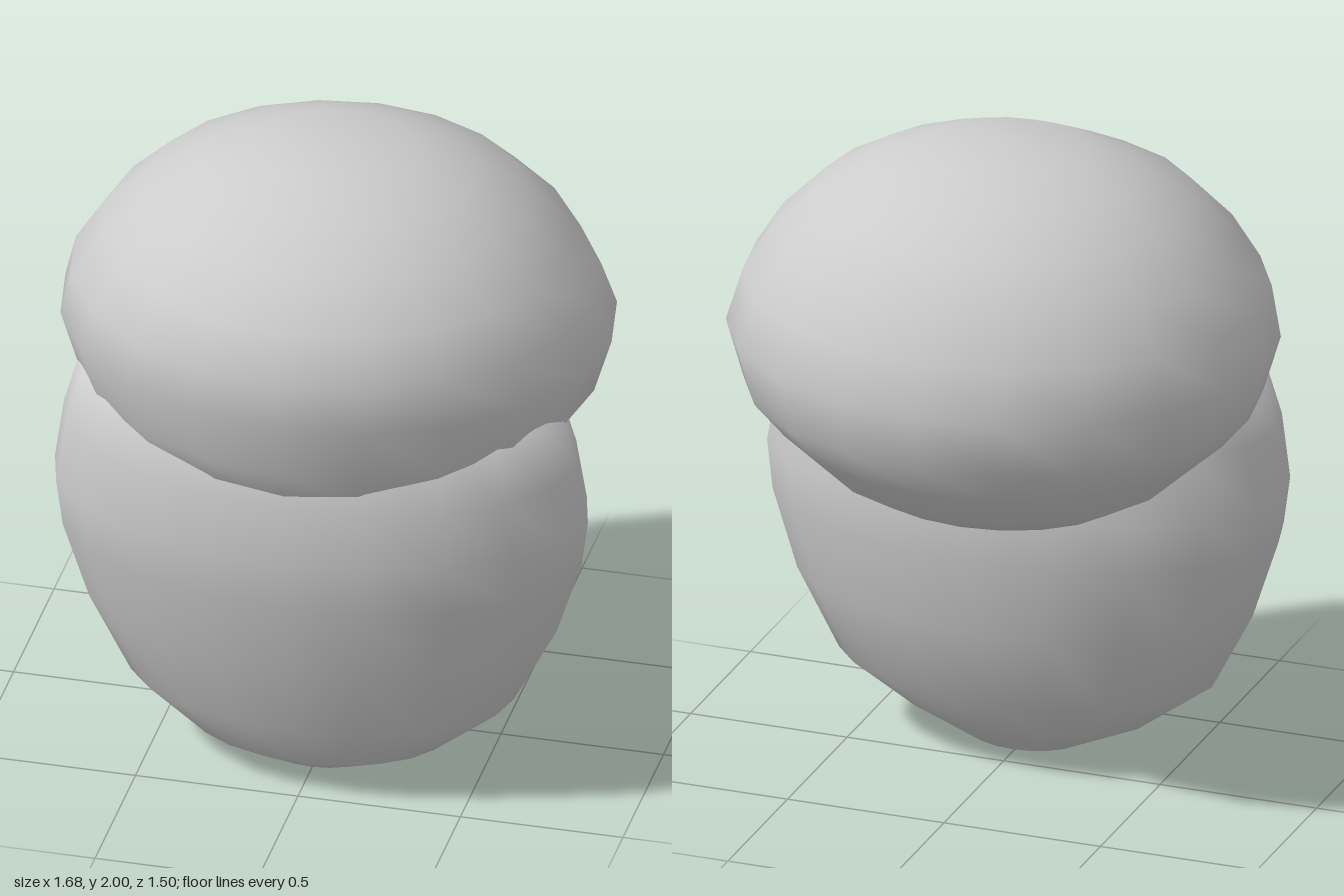
import * as THREE from 'three';
import { mergeVertices } from 'three/addons/utils/BufferGeometryUtils.js';

const SEGMENTS = 20;

// Closed rounded form from elliptical rings, top to bottom: [y, half width, front z, back z]
function loftedBlob(name, rows, material) {
  const geometry = new THREE.SphereGeometry(1, SEGMENTS, rows.length - 1);
  geometry.deleteAttribute('uv');
  geometry.deleteAttribute('normal');
  const position = geometry.attributes.position;
  for (let i = 0; i < position.count; i++) {
    const [y, halfWidth, front, back] = rows[Math.floor(i / (SEGMENTS + 1))];
    const angle = (i % (SEGMENTS + 1)) / SEGMENTS * Math.PI * 2;
    position.setXYZ(
      i,
      -Math.cos(angle) * halfWidth,
      y,
      (front + back) / 2 + Math.sin(angle) * (front - back) / 2
    );
  }
  // Weld the seam and poles so the shading stays smooth all round
  const welded = mergeVertices(geometry, 1e-4);
  welded.computeVertexNormals();
  const mesh = new THREE.Mesh(welded, material);
  mesh.name = name;
  return mesh;
}

export function createModel() {
  const model = new THREE.Group();
  model.name = 'headBase';
  const grey = new THREE.MeshStandardMaterial({ color: 0xcccccc });
  grey.name = 'plain grey';

  // Broad skull, hanging lower at the back
  model.add(loftedBlob('cranium', [
    [2.00, 0, 0.04, 0.04],
    [1.985, 0.25, 0.25, -0.19],
    [1.92, 0.43, 0.39, -0.34],
    [1.83, 0.58, 0.56, -0.50],
    [1.70, 0.71, 0.68, -0.63],
    [1.56, 0.80, 0.75, -0.69],
    [1.41, 0.84, 0.745, -0.75],
    [1.23, 0.785, 0.705, -0.715],
    [1.12, 0.69, 0.66, -0.64],
    [0.99, 0.55, 0.52, -0.51],
    [0.91, 0.40, 0.30, -0.37],
    [0.87, 0, -0.04, -0.04],
  ], grey));

  // Face and jaw, set forward and narrowing to the chin
  model.add(loftedBlob('jaw', [
    [1.50, 0, 0.20, 0.20],
    [1.40, 0.45, 0.45, -0.05],
    [1.28, 0.74, 0.61, -0.17],
    [1.10, 0.79, 0.68, -0.24],
    [0.90, 0.82, 0.685, -0.265],
    [0.75, 0.80, 0.68, -0.27],
    [0.50, 0.72, 0.625, -0.23],
    [0.25, 0.59, 0.55, -0.15],
    [0.10, 0.39, 0.47, -0.02],
    [0.01, 0.18, 0.34, 0.07],
    [0.00, 0, 0.20, 0.20],
  ], grey));

  return model;
}
